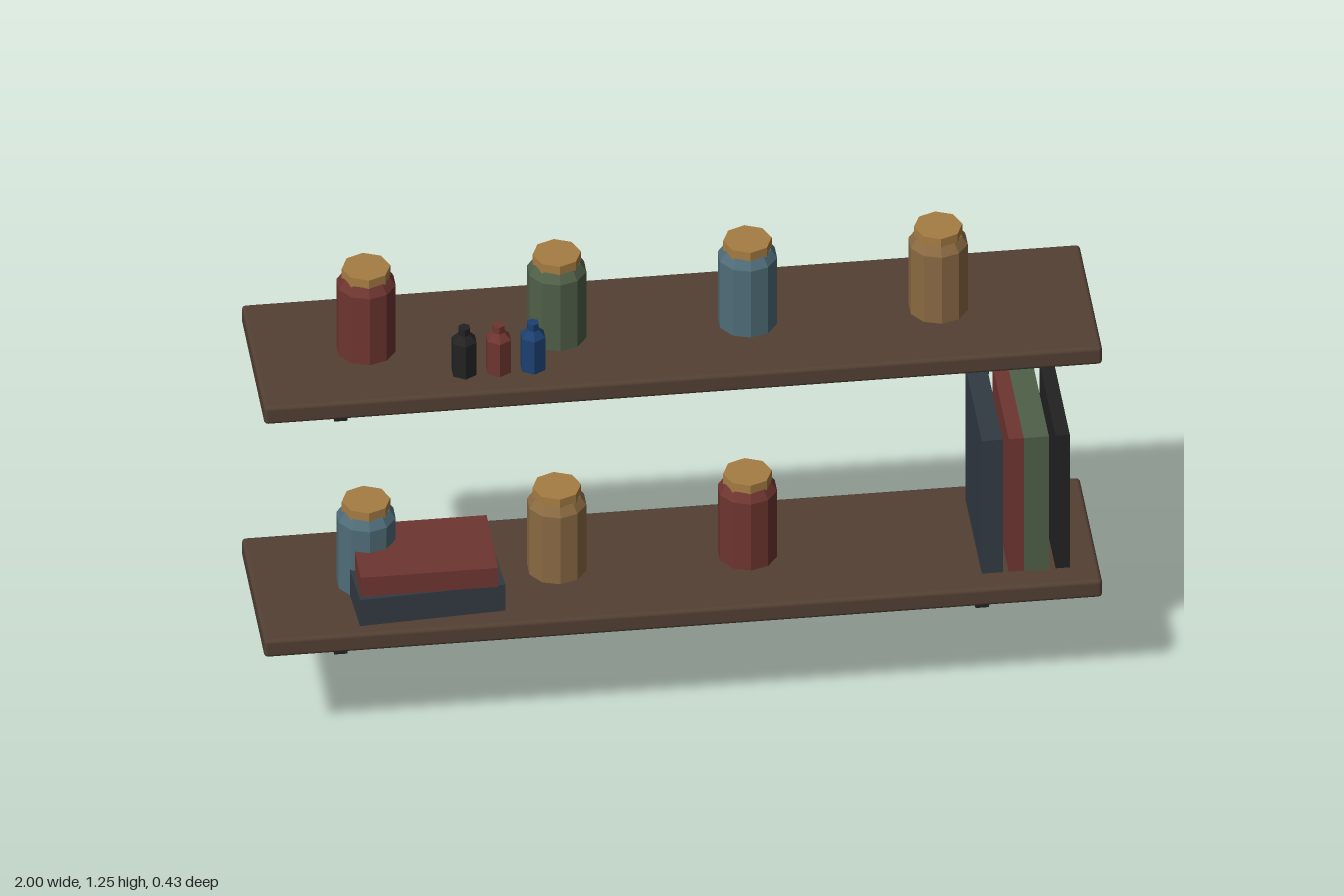
import * as THREE from 'three';
import { RoundedBoxGeometry } from 'three/addons/geometries/RoundedBoxGeometry.js';

const COLORS = {
  wood: 0x534034, black: 0x222222, red: 0x6e3530, green: 0x4f5f48, paleBlue: 0x4f6c78,
  tan: 0x8a6a42, lidGold: 0xa67d43, slate: 0x323a42, deepBlue: 0x1c4070,
};

export function createModel() {
  const model = new THREE.Group();
  model.name = 'wallShelves';

  const mats = {};
  for (const [name, color] of Object.entries(COLORS)) {
    mats[name] = new THREE.MeshStandardMaterial({ color });
    mats[name].name = name;
  }

  function add(parent, name, geometry, color, x, y, z) {
    const mesh = new THREE.Mesh(geometry, mats[color]);
    mesh.name = name;
    mesh.position.set(x, y, z);
    parent.add(mesh);
    return mesh;
  }

  // Faceted turned shape from [radius, height] pairs, bottom to top
  function turned(profile, sides) {
    const points = profile.map(([r, y]) => new THREE.Vector2(r, y));
    const geometry = new THREE.LatheGeometry(points, sides).toNonIndexed();
    geometry.computeVertexNormals();
    return geometry;
  }

  const board = new RoundedBoxGeometry(2, 0.05, 0.434, 2, 0.01);
  const post = new THREE.BoxGeometry(0.032, 0.293, 0.02);
  const arm = new THREE.BoxGeometry(0.032, 0.022, 0.38);
  const jarBody = turned([[0, 0], [0.0715, 0], [0.0715, 0.19], [0.057, 0.212], [0, 0.212]], 10);
  const jarLid = turned([[0, 0.206], [0.058, 0.206], [0.058, 0.235], [0, 0.235]], 8);
  const bottleBody = turned(
    [[0, 0], [0.032, 0], [0.032, 0.093], [0.015, 0.111], [0.015, 0.13], [0, 0.13]], 6);

  // Each level: a board on two L-shaped brackets
  function shelf(name, top) {
    const group = new THREE.Group();
    group.name = name;
    group.position.y = top;
    model.add(group);
    add(group, 'board', board, 'wood', 0, -0.025, 0);
    for (const x of [-0.765, 0.765]) {
      add(group, 'bracketPost', post, 'black', x, -0.1985, -0.207);
      add(group, 'bracketArm', arm, 'black', x, -0.063, -0.027);
    }
    return group;
  }

  function jar(parent, color, x) {
    const group = new THREE.Group();
    group.name = 'jar';
    group.position.x = x;
    parent.add(group);
    add(group, 'jarBody', jarBody, color, 0, 0, 0);
    add(group, 'jarLid', jarLid, 'lidGold', 0, 0, 0);
  }

  const lower = shelf('lowerShelf', 0.345);
  const upper = shelf('upperShelf', 1.018);

  // Jars share one even spacing on both levels
  const jarX = (i) => -0.73 + i * 0.455;
  ['red', 'green', 'paleBlue', 'tan'].forEach((c, i) => jar(upper, c, jarX(i)));
  ['paleBlue', 'tan', 'red'].forEach((c, i) => jar(lower, c, jarX(i)));

  // Small bottles
  ['black', 'red', 'deepBlue'].forEach((c, i) =>
    add(upper, 'bottle', bottleBody, c, -0.512 + i * 0.082, 0, 0.127));

  // Stacked books, the lower one turned slightly
  const bottomBook = add(lower, 'stackedBookBottom',
    new THREE.BoxGeometry(0.35, 0.075, 0.24), 'slate', -0.6, 0.0375, 0.053);
  bottomBook.rotation.y = 0.06;
  add(lower, 'stackedBookTop',
    new THREE.BoxGeometry(0.328, 0.055, 0.22), 'red', -0.6, 0.1025, 0.06);

  // Upright books: colour, left edge, thickness
  for (const [color, x, width] of [
    ['slate', 0.72, 0.05], ['red', 0.784, 0.036], ['green', 0.82, 0.06], ['black', 0.896, 0.034],
  ]) {
    add(lower, 'uprightBook', new THREE.BoxGeometry(width, 0.383, 0.306), color,
      x + width / 2, 0.1915, 0);
  }

  return model;
}
